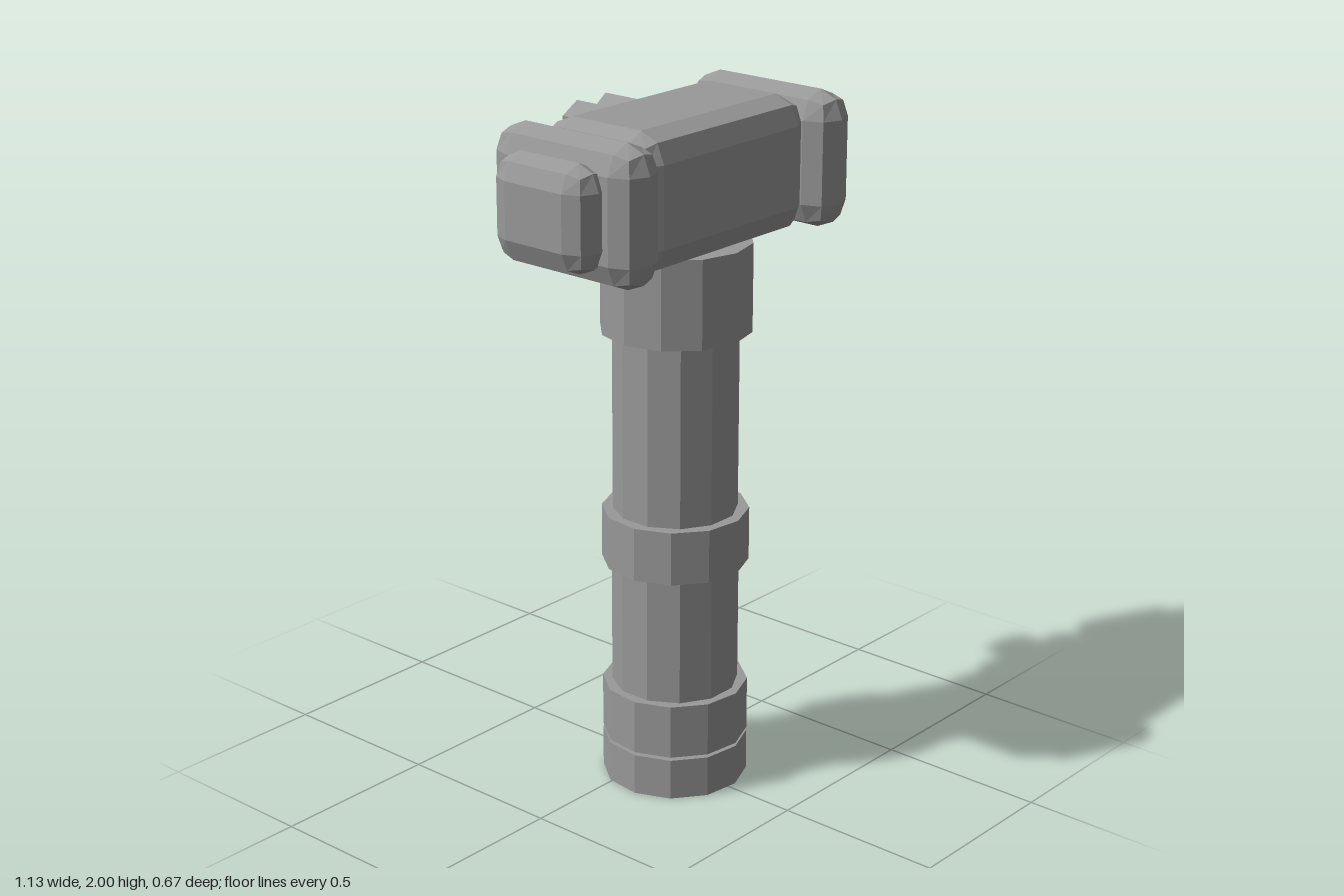
import * as THREE from 'three';
import { RoundedBoxGeometry } from 'three/addons/geometries/RoundedBoxGeometry.js';

export function createModel() {
  const model = new THREE.Group();
  const grey = new THREE.MeshStandardMaterial({ color: 0x999999, flatShading: true });
  grey.name = 'plain grey';
  const axisZ = 0.073, headY = 1.802;

  function add(name, geometry, x, y, z) {
    const mesh = new THREE.Mesh(geometry, grey);
    mesh.name = name;
    mesh.position.set(x, y, z);
    model.add(mesh);
    return mesh;
  }

  // Handle: stacked twelve-sided sections [name, radius, bottom, top, turn]
  const sections = [
    ['baseCap', 0.211, 0, 0.122, 0.13],
    ['baseGroove', 0.19, 0.11, 0.14, 0.13],
    ['lowerBand', 0.211, 0.132, 0.292, 0.13],
    ['lowerShaft', 0.183, 0.28, 0.69, Math.PI / 12],
    ['middleBand', 0.211, 0.672, 0.83, 0.13],
    ['upperShaft', 0.179, 0.82, 1.38, Math.PI / 12],
    ['collar', 0.216, 1.365, 1.622, 0],
  ];
  for (const [name, r, y0, y1, turn] of sections) {
    add(name, new THREE.CylinderGeometry(r, r, y1 - y0, 12), 0, (y0 + y1) / 2, axisZ).rotation.y = turn;
  }

  // Head: bevelled block, with its end bevels slightly shortened
  const block = new RoundedBoxGeometry(0.68 / 0.75, 0.39, 0.402, 1, 0.08);
  block.scale(0.75, 1, 1);
  add('headBlock', block, 0, headY, 0.071);

  // Bulging bands and striking pads on both ends
  for (const side of [-1, 1]) {
    const end = side > 0 ? 'left' : 'right';
    add(end + 'HeadBand', new RoundedBoxGeometry(0.156, 0.394, 0.516, 1, 0.0775), side * 0.401, headY, axisZ);
    add(end + 'StrikingPad', new RoundedBoxGeometry(0.138, 0.296, 0.338, 1, 0.0685), side * 0.498, headY, axisZ);
  }

  // Six-lobed knob on the back
  const outline = [];
  for (let i = 0; i < 6; i++) {
    for (const [deg, r] of [[-11, 0.18], [11, 0.18], [23, 0.142], [37, 0.142]]) {
      const a = THREE.MathUtils.degToRad(i * 60 + deg);
      outline.push(new THREE.Vector2(Math.cos(a) * r, Math.sin(a) * r));
    }
  }
  add('knob', new THREE.ExtrudeGeometry(new THREE.Shape(outline), { depth: 0.12, bevelEnabled: false }), 0, headY, -0.239);

  // Short octagonal stem behind the knob
  add('knobStem', new THREE.CylinderGeometry(0.073, 0.073, 0.11, 8), 0, headY, -0.282).rotation.x = Math.PI / 2;

  return model;
}
